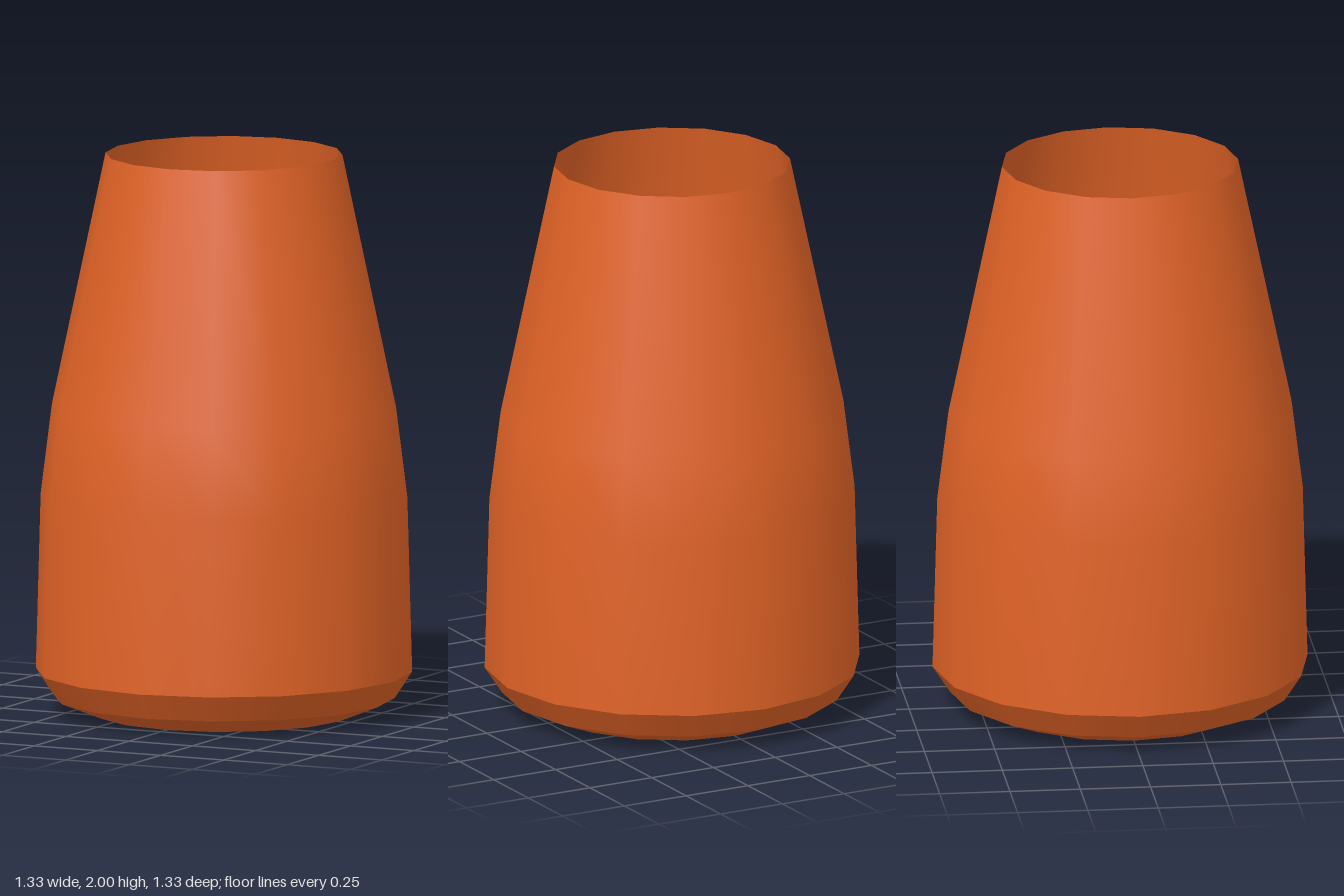
import * as THREE from 'three';

const SIDES = 16;

export function createModel() {
  const group = new THREE.Group();
  group.name = 'openVessel';

  const orange = new THREE.MeshStandardMaterial({ color: 0xe06226, side: THREE.DoubleSide });
  orange.name = 'orange';

  // One thin turned band; separate bands keep the edges between them sharp
  const addBand = (name, profile) => {
    const points = profile.map(([r, y]) => new THREE.Vector2(r, y));
    const mesh = new THREE.Mesh(new THREE.LatheGeometry(points, SIDES), orange);
    mesh.name = name;
    group.add(mesh);
  };

  // Closed underside with a shallow slope
  addBand('base', [[0, 0], [0.455, 0], [0.605, 0.06]]);
  // Bevel between base and wall
  addBand('bevel', [[0.605, 0.06], [0.667, 0.155]]);
  // Tapered wall, open at the top
  addBand('wall', [[0.667, 0.155], [0.65, 0.78], [0.61, 1.1], [0.42, 2]]);

  return group;
}
